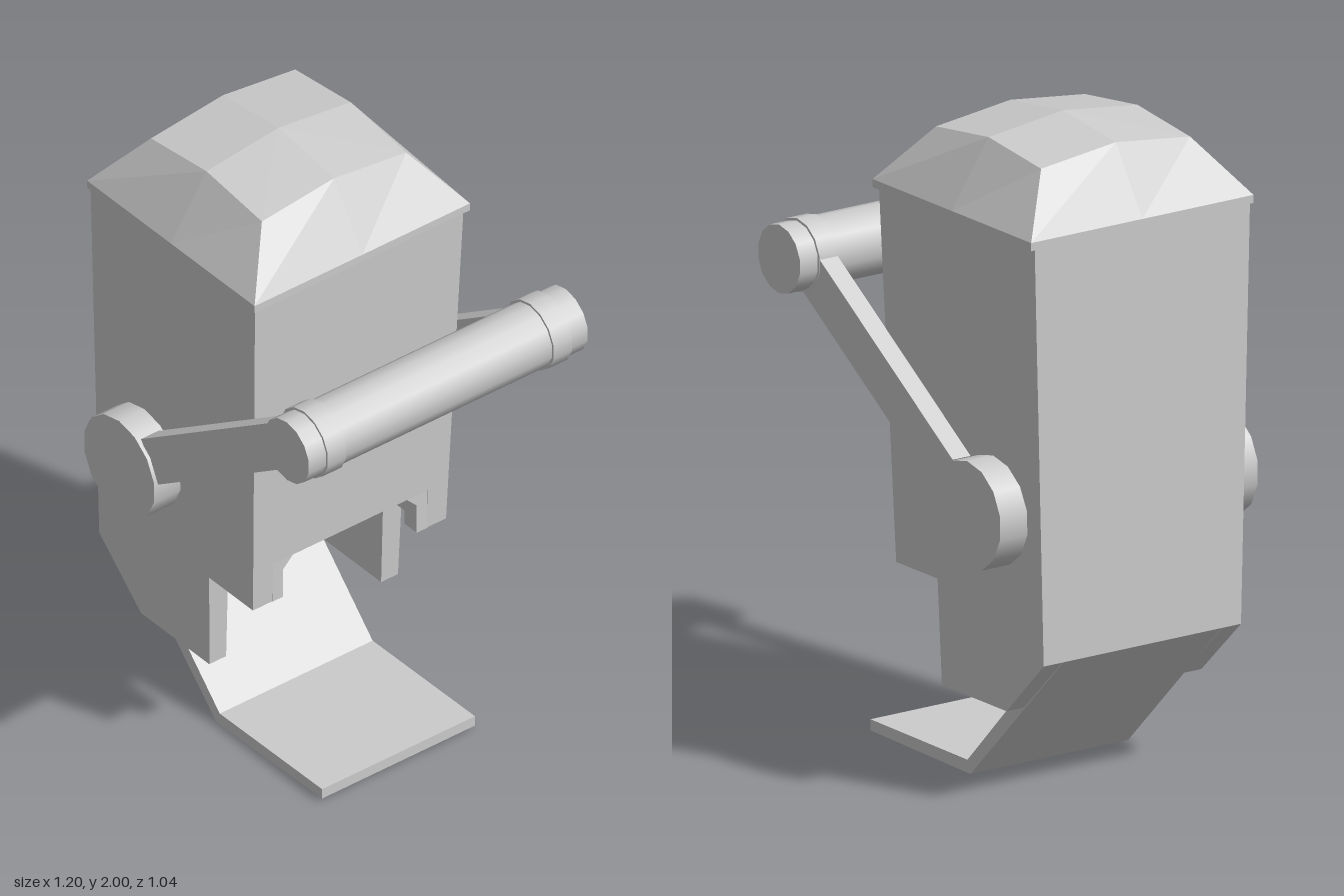
import * as THREE from 'three';

const grey = new THREE.MeshStandardMaterial({ color: 0xcccccc, flatShading: true });
const smooth = new THREE.MeshStandardMaterial({ color: 0xcccccc });

// half depth of the casing, which widens slightly upwards
const halfDepth = (y) => 0.353 + (y - 0.275) * 0.0253;
// x of the slightly leaning face at height y
const faceX = (y) => 0.125 + (y - 0.6) * 0.04;

// extrude an outline of [x, y] corners from z0 to z1
function prism(points, z0, z1) {
  const shape = new THREE.Shape(points.map(([x, y]) => new THREE.Vector2(x, y)));
  const geo = new THREE.ExtrudeGeometry(shape, { depth: z1 - z0, bevelEnabled: false });
  return geo.translate(0, 0, z0);
}

// push the outer side of a prism onto the tapered casing surface
function taper(geo) {
  const p = geo.attributes.position;
  for (let i = 0; i < p.count; i++) {
    const z = p.getZ(i);
    if (Math.abs(z) > 0.3) p.setZ(i, Math.sign(z) * halfDepth(p.getY(i)));
  }
  geo.computeVertexNormals();
  return geo;
}

// faceted dome: base ring, upper ring and a raised centre
function domeGeometry() {
  const cx = -0.2075;
  const around = [[1, 1], [1, 0], [1, -1], [0, -1], [-1, -1], [-1, 0], [-1, 1], [0, 1]];
  const verts = [], index = [];
  for (const [u, v] of around) verts.push(cx + u * 0.3925, 1.765, v * 0.403);
  for (const [u, v] of around) verts.push(cx + u * 0.26, u && v ? 1.935 : 1.967, v * 0.27);
  verts.push(cx, 2, 0);
  for (let i = 0; i < 8; i++) {
    const j = (i + 1) % 8;
    index.push(i, j, 8 + j, i, 8 + j, 8 + i, 8 + i, 8 + j, 16);
  }
  const geo = new THREE.BufferGeometry();
  geo.setAttribute('position', new THREE.Float32BufferAttribute(verts, 3));
  geo.setIndex(index);
  const flat = geo.toNonIndexed();
  flat.computeVertexNormals();
  return flat;
}

export function createModel() {
  const model = new THREE.Group();
  const add = (name, geo, mat = grey) => {
    const mesh = new THREE.Mesh(geo, mat);
    mesh.name = name;
    model.add(mesh);
    return mesh;
  };
  // cylinder lying along z
  const drum = (name, x, y, r, z0, z1) => add(name,
    new THREE.CylinderGeometry(r, r, z1 - z0, 14).rotateX(Math.PI / 2).translate(x, y, (z0 + z1) / 2), smooth);

  // casing: solid upper core, side walls and back wall around the open chamber
  add('casingCore', prism([[-0.6, 0.74], [faceX(0.74), 0.74], [faceX(1.74), 1.74], [-0.6, 1.74]], -0.29, 0.29));
  const wall = [[-0.6, 0.46], [-0.41, 0.275], [-0.09, 0.275], [-0.08, 0.6],
    [faceX(0.6), 0.6], [faceX(1.74), 1.74], [-0.6, 1.74]];
  add('leftWall', taper(prism(wall, 0.29, 0.39)));
  add('rightWall', taper(prism(wall, -0.39, -0.29)));
  add('backWall', prism([[-0.6, 0.46], [-0.57, 0.46], [-0.57, 0.74], [-0.6, 0.74]], -0.29, 0.29));

  // chamfered corners of the chamber mouth
  for (const s of [1, -1]) {
    const outline = [[0.29, 0.6], [0.25, 0.6], [0.25, 0.7], [0.21, 0.74], [0.29, 0.74]];
    const geo = prism(outline.map(([z, y]) => [-s * z, y]), 0.07, 0.127);
    add('mouthCorner', geo.rotateY(Math.PI / 2));
  }

  // chute sloping down to a flat tray
  add('chute', prism([[-0.6, 0.46], [-0.14, 0.003], [0.355, 0.013], [0.355, 0.047],
    [-0.125, 0.043], [-0.57, 0.5]], -0.286, 0.286));

  // lid
  add('lidRim', new THREE.BoxGeometry(0.785, 0.025, 0.806).translate(-0.2075, 1.7525, 0));
  add('lidDome', domeGeometry());

  // swinging handle with a pivot, arm and collar on each side
  const pivot = new THREE.Vector2(-0.37, 0.885), grip = new THREE.Vector2(0.485, 1.467);
  const dir = grip.clone().sub(pivot).normalize();
  const start = pivot.clone().addScaledVector(dir, 0.155);
  const length = grip.distanceTo(start);
  const mid = start.clone().add(grip).multiplyScalar(0.5);
  for (const s of [1, -1]) {
    const span = (a, b) => (s > 0 ? [a, b] : [-b, -a]);
    drum('pivotDisc', pivot.x, pivot.y, 0.167, ...span(0.34, 0.467));
    drum('handleCollar', grip.x, grip.y, 0.113, ...span(0.388, 0.457));
    const arm = add('handleArm', new THREE.BoxGeometry(length, 0.144, 0.065));
    arm.position.set(mid.x, mid.y, s * 0.4225);
    arm.rotation.z = Math.atan2(dir.y, dir.x);
  }
  drum('handleBar', grip.x, grip.y, 0.105, -0.522, 0.522);

  return model;
}
